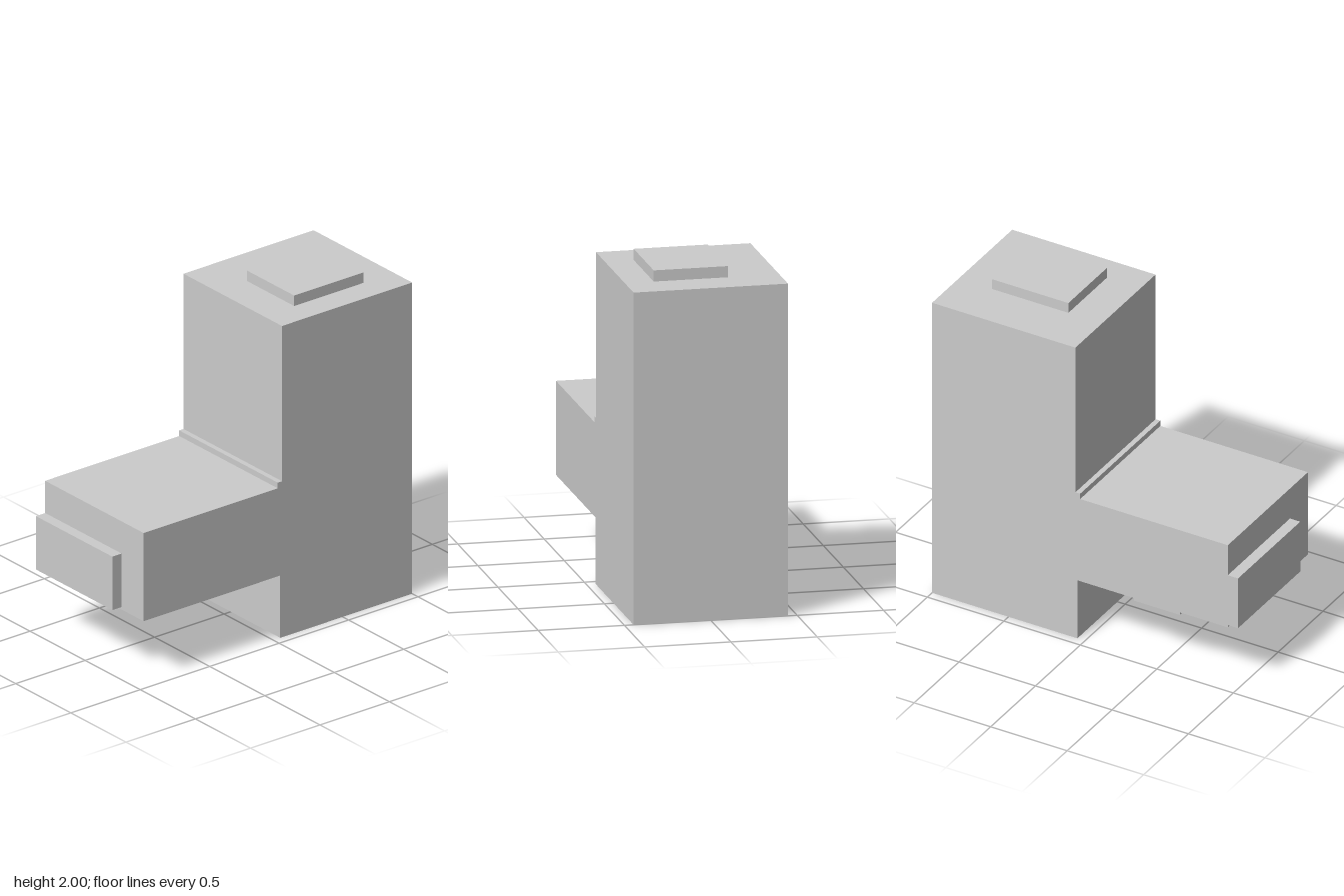
import * as THREE from 'three';

const material = new THREE.MeshStandardMaterial({ color: 0xcccccc, flatShading: true });

// Box given by its minimum and maximum corners
function block(name, [x0, y0, z0], [x1, y1, z1]) {
  const mesh = new THREE.Mesh(new THREE.BoxGeometry(x1 - x0, y1 - y0, z1 - z0), material);
  mesh.position.set((x0 + x1) / 2, (y0 + y1) / 2, (z0 + z1) / 2);
  mesh.name = name;
  return mesh;
}

export function createModel() {
  const model = new THREE.Group();
  model.name = 'building';
  const halfDepth = 0.447;

  // Tower, low wing and the small step between them share one flat-sided outline
  const outline = new THREE.Shape([
    [0.05, 0], [1, 0], [1, 1.935], [0.063, 1.935], [0.063, 0.97], [0.032, 0.97],
    [0.032, 0.935], [-0.933, 0.935], [-0.933, 0.387], [0.05, 0.387],
  ].map(([x, y]) => new THREE.Vector2(x, y)));
  const bodyGeometry = new THREE.ExtrudeGeometry(outline, { depth: 2 * halfDepth, bevelEnabled: false });
  bodyGeometry.translate(0, 0, -halfDepth);
  const body = new THREE.Mesh(bodyGeometry, material);
  body.name = 'towerAndWing';
  model.add(body);

  // Raised blocks on the roof, the wing's end and its underside
  model.add(
    block('roofBlock', [0.283, 1.935, -0.15], [0.783, 2, 0.28]),
    block('wingEndBlock', [-1, 0.403, -halfDepth], [-0.933, 0.735, 0.247]),
    block('wingUndersidePanel', [-0.62, 0.37, -halfDepth], [-0.32, 0.387, 0.25]),
  );
  return model;
}
